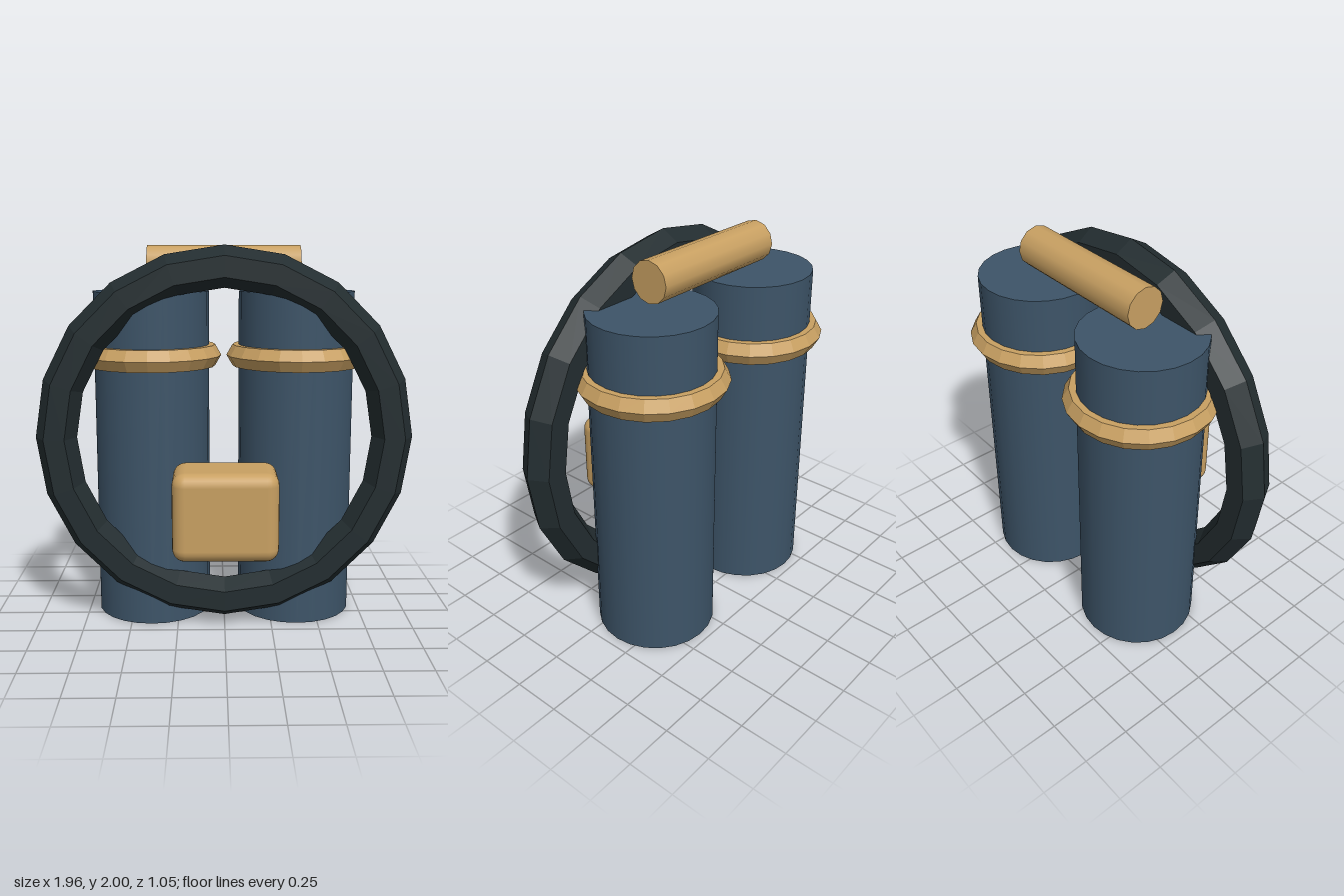
import * as THREE from 'three';
import { RoundedBoxGeometry } from 'three/addons/geometries/RoundedBoxGeometry.js';

export function createModel() {
  const group = new THREE.Group();
  const blue = new THREE.MeshStandardMaterial({ color: 0x3d5468 });
  const brass = new THREE.MeshStandardMaterial({ color: 0xc8a062 });
  const brassFlat = new THREE.MeshStandardMaterial({ color: 0xc8a062, flatShading: true });
  const dark = new THREE.MeshStandardMaterial({ color: 0x232d30, flatShading: true });

  const add = (name, geometry, material, x, y, z) => {
    const mesh = new THREE.Mesh(geometry, material);
    mesh.name = name;
    mesh.position.set(x, y, z);
    group.add(mesh);
    return mesh;
  };

  // Twin tanks, each with a six-sided band
  const tankZ = -0.145;
  for (const [side, s] of [['left', 1], ['right', -1]]) {
    add(side + 'Tank', new THREE.CylinderGeometry(0.31, 0.31, 1.76, 24), blue, s * 0.39, 0.88, tankZ);
    const band = add(side + 'Band', new THREE.TorusGeometry(0.31, 0.066, 6, 20), brassFlat, s * 0.39, 1.418, tankZ);
    band.rotation.x = Math.PI / 2;
  }

  // Carrying handle across the tank tops
  const handle = add('handle', new THREE.CylinderGeometry(0.104, 0.104, 0.81, 12), brass, 0, 1.896, tankZ);
  handle.rotation.z = Math.PI / 2;

  // Large harness ring in front of the tanks
  add('harnessRing', new THREE.TorusGeometry(0.875, 0.107, 6, 20), dark, 0, 1.017, 0.123);

  // Rounded buckle box
  add('buckle', new RoundedBoxGeometry(0.53, 0.45, 0.35, 3, 0.065), brass, 0, 0.68, 0.35);

  return group;
}
